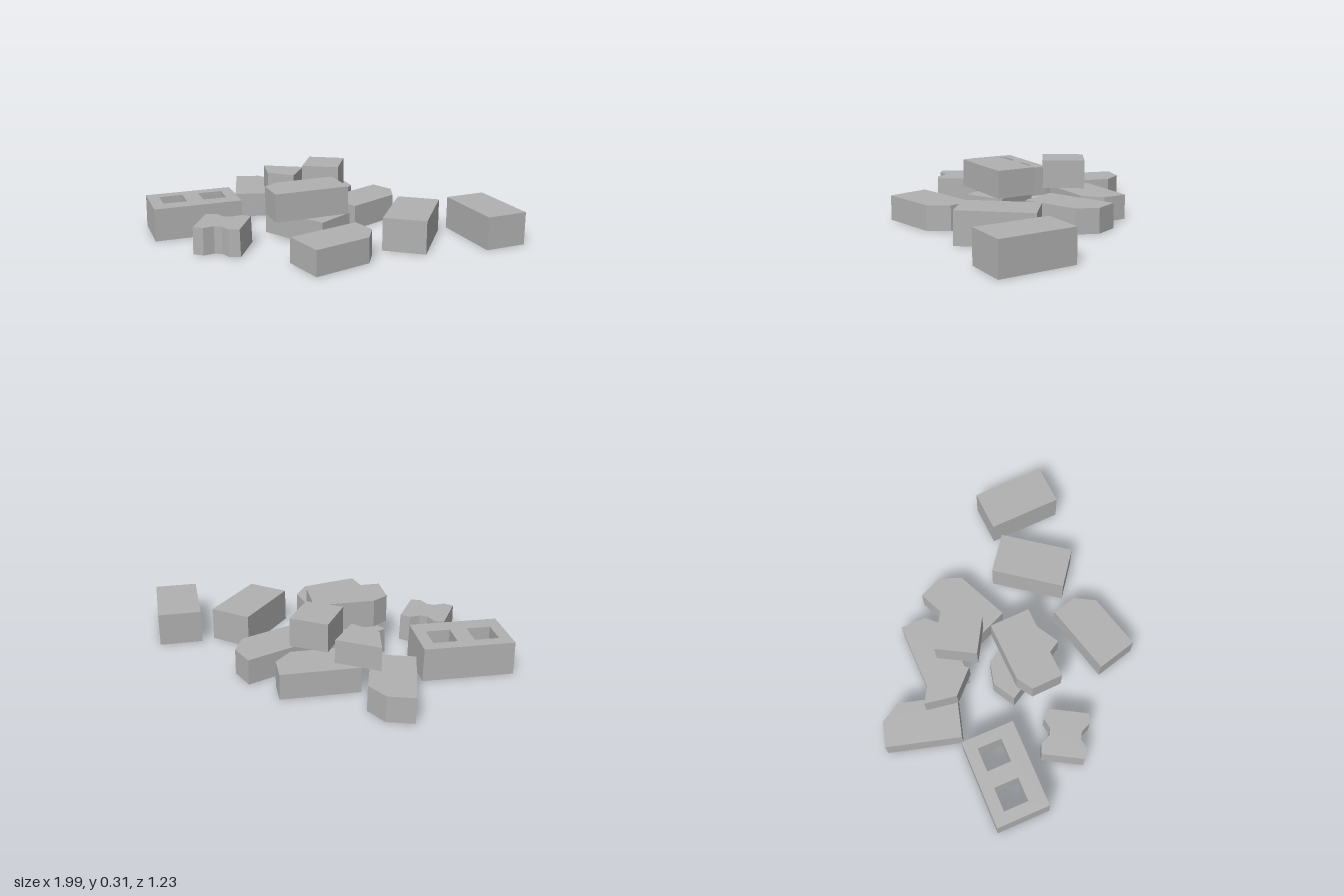
import * as THREE from 'three';
import { mergeGeometries } from 'three/addons/utils/BufferGeometryUtils.js';

const LENGTH = 0.39, WIDTH = 0.22;

// Rectangle on the ground plan (x, z), optionally with one corner broken off
function rectangle(length, width, cutU = 0, cutV = 0) {
  const u = length / 2, v = width / 2;
  const corner = cutU ? [[u, v - cutV], [u - cutU, v]] : [[u, v]];
  return [[-u, -v], [u, -v], ...corner, [-u, v]];
}

// Plan points as a loop in shape space, wound one way for outlines and the other for holes
function toLoop(points, clockwise) {
  const loop = points.map(([x, z]) => new THREE.Vector2(x, -z));
  return THREE.ShapeUtils.isClockWise(loop) === clockwise ? loop : loop.reverse();
}

// Upright walls joining a lower loop to an upper loop
function walls(lower, upper, height) {
  const pos = [];
  lower.forEach((a, i) => {
    const j = (i + 1) % lower.length;
    const b = lower[j], c = upper[j], d = upper[i];
    pos.push(a.x, 0, -a.y, b.x, 0, -b.y, c.x, height, -c.y);
    pos.push(a.x, 0, -a.y, c.x, height, -c.y, d.x, height, -d.y);
  });
  const g = new THREE.BufferGeometry();
  g.setAttribute('position', new THREE.Float32BufferAttribute(pos, 3));
  g.computeVertexNormals();
  return g;
}

// Block shell: slightly tapered sides and a flat top, open underneath
function blockGeometry(outline, height, taper, holes = []) {
  const lower = toLoop(outline, false);
  const upper = lower.map((p) => p.clone().multiplyScalar(taper));
  const shape = new THREE.Shape(upper);
  const parts = [walls(lower, upper, height)];
  for (const hole of holes) {
    const loop = toLoop(hole, true);
    shape.holes.push(new THREE.Path(loop));
    parts.push(walls(loop, loop, height));
  }
  const top = new THREE.ShapeGeometry(shape).toNonIndexed();
  top.rotateX(-Math.PI / 2).translate(0, height, 0);
  top.deleteAttribute('uv');
  return mergeGeometries([...parts, top]);
}

export function createModel() {
  const group = new THREE.Group();
  group.name = 'brickPile';
  const stone = new THREE.MeshStandardMaterial({ color: 0xb0b0b0, side: THREE.DoubleSide });
  stone.name = 'grey stone';

  // Angle in degrees turns the block's length from +x towards +z
  const place = (name, geometry, x, y, z, angle = 0) => {
    const mesh = new THREE.Mesh(geometry, stone);
    mesh.name = name;
    mesh.position.set(x, y, z);
    mesh.rotation.y = -THREE.MathUtils.degToRad(angle);
    group.add(mesh);
  };

  // Whole bricks
  const wholeBrick = blockGeometry(rectangle(LENGTH, WIDTH), 0.17, 0.995);
  place('rightBrick', wholeBrick, 0.797, 0, -0.093, 57.5);
  place('innerRightBrick', wholeBrick, 0.427, 0, 0.035, 96.7);

  // Thinner bricks with a broken corner
  const brokenBrick = blockGeometry(rectangle(LENGTH, WIDTH, 0.085, 0.087), 0.13, 0.99);
  place('frontBrick', brokenBrick, 0.097, 0, 0.397, -44.5);
  place('middleBrick', brokenBrick, -0.115, 0, 0.03, 210);
  place('backLeftBrick', brokenBrick, -0.509, 0, -0.423, -104.7);
  place('backMiddleBrick', brokenBrick, -0.132, 0, -0.413, -31);
  place('backRightBrick', brokenBrick, 0.146, 0, -0.308, -54);

  // Upper layer
  place('stackedBrick', blockGeometry(rectangle(LENGTH, 0.211, 0.08, 0.05), 0.145, 1), -0.121, 0.13, 0.0625, 148.1);
  place('topHalfBrick', blockGeometry(rectangle(0.195, 0.215), 0.145, 1), -0.083, 0.17, -0.283);
  const halfOutline = [[-0.126, -0.088], [0.104, -0.088], [0.089, 0.108], [-0.066, 0.068]];
  place('stackedHalfBrick', blockGeometry(halfOutline, 0.12, 0.99), -0.324, 0.13, -0.318);

  // Block with two square openings
  const openings = [-1, 1].map((side) =>
    rectangle(0.123, 0.127).map(([x, z]) => [x + side * 0.105, z - 0.013]));
  place('hollowBlock', blockGeometry(rectangle(0.461, 0.28), 0.17, 0.985, openings), -0.729, 0, 0.03, -30);

  // Waisted paver: one quarter of the outline, mirrored both ways
  const quarter = [[0.12, 0.11], [0.065, 0.118], [0.02, 0.082]];
  const half = [...quarter, ...quarter.map(([x, z]) => [-x, z]).reverse()];
  const paver = [...half, ...half.map(([x, z]) => [x, -z]).reverse()];
  place('notchedPaver', blockGeometry(paver, 0.14, 0.975), -0.49, 0, 0.305);

  return group;
}
